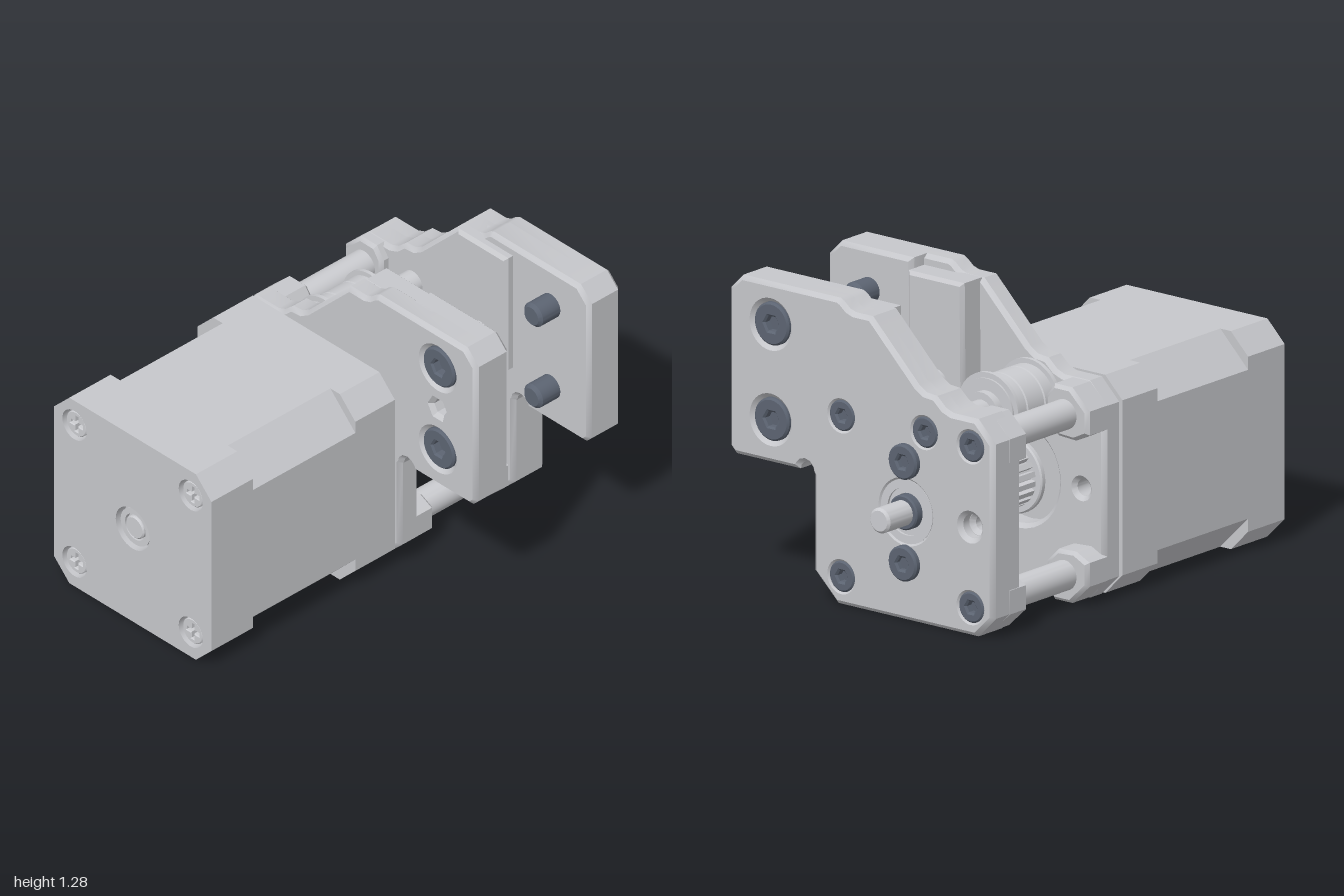
import * as THREE from 'three';
import { toCreasedNormals } from 'three/addons/utils/BufferGeometryUtils.js';

const paint = (name, color) => Object.assign(new THREE.MeshStandardMaterial({ color }), { name });

export function createModel() {
  const root = new THREE.Group();
  root.name = 'gearedMotorMount';
  const alloy = paint('alloy grey', 0xc6c7cb);
  const steel = paint('steel grey', 0xcbccd0);
  const dark = paint('dark screw steel', 0x5c6472);
  const CX = -0.235, CY = 0.46, P = 0.337; // motor axis and screw pitch
  const corners = [[-1, 1], [1, 1], [-1, -1], [1, -1]];

  const add = (name, geo, mat) => {
    const m = new THREE.Mesh(toCreasedNormals(geo, 0.6), mat);
    m.name = name;
    root.add(m);
    return m;
  };
  const ring = (x, y, r, n = 32) => Array.from({ length: n }, (_, i) => {
    const a = (i / n) * Math.PI * 2;
    return new THREE.Vector2(x + r * Math.cos(a), y + r * Math.sin(a));
  });
  const toV = (pts) => pts.map((p) => (p.isVector2 ? p : new THREE.Vector2(p[0], p[1])));
  // Flat plate between two z values, with holes and an edge chamfer
  const plate = (name, mat, pts, z0, z1, holes = [], b = 0) => {
    const s = new THREE.Shape(toV(pts));
    s.holes = holes.map((h) => new THREE.Path(toV(h)));
    const geo = new THREE.ExtrudeGeometry(s, {
      depth: z1 - z0 - 2 * b, bevelEnabled: b > 0, bevelSize: b,
      bevelThickness: b, bevelOffset: -b, bevelSegments: 1,
    });
    geo.translate(0, 0, z0 + b);
    return add(name, geo, mat);
  };
  // Turned part along z; profile is [radius, z] with z rising
  const turned = (name, mat, x, y, profile, n = 40) => {
    const geo = new THREE.LatheGeometry(toV(profile), n);
    geo.rotateX(Math.PI / 2);
    geo.translate(x, y, 0);
    return add(name, geo, mat);
  };
  const rod = (name, mat, x, y, r, z0, z1, c = 0.006) =>
    turned(name, mat, x, y, [[0, z0], [r - c, z0], [r, z0 + c], [r, z1 - c], [r - c, z1], [0, z1]]);
  // Round screw head with a hex socket; dir is the way it faces
  const socketHead = (name, x, y, z, r, depth, dir) => {
    const back = z - dir * depth;
    plate(name, dark, ring(x, y, r), Math.min(z, back), Math.max(z, back), [ring(x, y, r * 0.4, 6)], 0.008);
    rod(name + 'Socket', dark, x, y, r * 0.6, Math.min(back, back + dir * 0.015), Math.max(back, back + dir * 0.015), 0.001);
  };

  // Motor: chamfered square sections
  const octagon = (h, c) => [[-h + c, -h], [h - c, -h], [h, -h + c], [h, h - c], [h - c, h], [-h + c, h], [-h, h - c], [-h, -h + c]]
    .map(([x, y]) => [x + CX, y + CY]);
  const H = 0.457;
  plate('motorRearCap', alloy, octagon(H, 0.09), -0.02, 0.2);
  plate('motorStator', alloy, octagon(H, 0.145), 0.2, 0.77);
  plate('motorFrontCap', alloy, octagon(H, 0.09), 0.77, 0.95);
  const capHoles = corners.map(([a, b]) => ring(CX + a * P, CY + b * P, 0.07));
  plate('motorFrontFace', alloy, octagon(H, 0.09), 0.95, 1, [...capHoles, ring(CX, CY, 0.098)]);
  turned('motorFrontBearing', steel, CX, CY, [[0.085, 0.95], [0.085, 0.985], [0.06, 0.985], [0.06, 0.965], [0, 0.965]]);
  rod('motorShaftEnd', steel, CX, CY, 0.052, 0.95, 0.99);
  const t = 0.008, L = 0.036;
  const cross = [[t, t], [L, t], [L, -t], [t, -t], [t, -L], [-t, -L], [-t, -t], [-L, -t], [-L, t], [-t, t], [-t, L], [t, L]];
  for (const [a, b] of corners) {
    const x = CX + a * P, y = CY + b * P;
    plate('motorScrew', steel, ring(x, y, 0.058), 0.955, 0.99, [cross.map((p) => [p[0] + x, p[1] + y])], 0.004);
  }

  // Shared outline of both mounting plates
  const notch = [0, 1, 2, 3, 4, 5, 6].map((i) => {
    const a = Math.PI * (1 - i / 6);
    return [0.292 + 0.035 * Math.cos(a), 0.53 + 0.035 * Math.sin(a)];
  });
  const arm = [[0.66, 0.53], [0.69, 0.56], [0.69, 1.22], [0.625, 1.285]];
  const outline = [[-0.6, 0.004], [0.13, 0.004], [0.25, 0.12], [0.25, 0.52], ...notch, ...arm,
    [0.12, 1.285], [0.1, 1.275], [0.07, 1.25], [0.04, 1.24], [-0.05, 1.24], [-0.29, 1.0], [-0.33, 0.975],
    [-0.385, 0.97], [-0.43, 0.93], [-0.47, 0.915], [-0.6, 0.915], [-0.69, 0.825], [-0.69, 0.094]];
  const armBlock = [[0.25, 0.52], ...notch, ...arm, [0.25, 1.285]];
  const clampY = [1.11, 0.71], clampX = 0.47;
  const counterbores = clampY.map((y) => ring(clampX, y, 0.092));
  const sideHole = (r) => ring(-0.57, CY, r);
  const hexHole = ring(clampX, 0.91, 0.038, 6);

  // Front plate with thicker arm
  plate('frontPlate', alloy, outline, -0.13, -0.02, [ring(CX, CY, 0.21), sideHole(0.035), hexHole, ...counterbores], 0.018);
  plate('frontPlateArm', alloy, armBlock, -0.21, -0.085, [hexHole], 0.018);
  // Rear plate
  const smallScrews = [...corners.map(([a, b]) => [CX + a * P, CY + b * P]), [-0.33, 0.81]];
  plate('rearPlate', alloy, outline, -0.83, -0.73,
    [ring(CX, CY, 0.125), sideHole(0.05), ...counterbores, ...smallScrews.map(([x, y]) => ring(x, y, 0.055))], 0.018);
  plate('rearPlateInner', alloy, outline, -0.775, -0.65, [ring(CX, CY, 0.125), sideHole(0.03)], 0.018);

  // Raised pads on the facing sides of the plates
  const foot = [[-0.12, 0.03], [-0.03, 0.115], [0.06, 0.115], [0.1, 0.06], [0.1, -0.04], [0.04, -0.1], [-0.05, -0.105], [-0.12, -0.07]];
  const rib = [[-0.045, 0.74], [0.01, 0.69], [0.25, 0.69], [0.25, 1.24], [-0.04, 1.24]];
  for (const [z0, z1] of [[-0.24, -0.1], [-0.74, -0.61]]) {
    for (const [a, b] of corners) {
      const x = CX + a * P, y = CY + b * P;
      if (a > 0 && b > 0) plate('upperRib', alloy, rib, z0, z1, [], 0.015);
      else plate('cornerPad', alloy, foot.map((p) => [x - a * p[0], y + b * p[1]]), z0, z1, [], 0.015);
    }
  }
  // Standoffs
  for (const [a, b] of corners) rod('standoff', steel, CX + a * P, CY + b * P, 0.063, -0.62, -0.23);

  // Clamp screws in the arms, heads outward and tips inward
  for (const y of clampY) {
    socketHead('frontClampScrew', clampX, y, -0.022, 0.09, 0.055, 1);
    rod('frontClampTip', dark, clampX, y, 0.054, -0.315, -0.19, 0.014);
    socketHead('rearClampScrew', clampX, y, -0.828, 0.09, 0.05, -1);
    rod('rearClampTip', dark, clampX, y, 0.054, -0.67, -0.54, 0.014);
  }
  for (const [x, y] of smallScrews) socketHead('standoffScrew', x, y, -0.829, 0.066, 0.05, -1);
  for (const y of [CY + 0.213, CY - 0.213]) socketHead('bearingScrew', CX, y, -0.857, 0.074, 0.04, -1);

  // Rear bearing and drive shaft
  turned('rearBearing', steel, CX, CY, [[0.075, -0.815], [0.1, -0.815], [0.1, -0.825], [0.135, -0.825], [0.135, -0.81], [0.123, -0.81], [0.123, -0.66], [0, -0.66]]);
  rod('shaftCollar', dark, CX, CY, 0.073, -0.85, -0.7);
  rod('driveShaft', steel, CX, CY, 0.053, -1, -0.02, 0.01);

  // Drive pulley: toothed barrel, flange and hub with set screws
  const teeth = [];
  for (let i = 0; i < 20; i++) {
    [[0, 0.13], [0.55, 0.13], [0.66, 0.105], [0.89, 0.105]].forEach(([f, r]) => {
      const a = ((i + f) / 20) * Math.PI * 2;
      teeth.push([CX + r * Math.cos(a), CY + r * Math.sin(a)]);
    });
  }
  plate('drivePulleyTeeth', steel, teeth, -0.41, -0.16);
  rod('drivePulleyFlange', steel, CX, CY, 0.16, -0.17, -0.14);
  rod('drivePulleyHub', steel, CX, CY, 0.16, -0.56, -0.405, 0.01);
  for (const side of [true, false]) {
    const screw = new THREE.Group();
    screw.name = 'hubSetScrew';
    const rim = new THREE.Mesh(new THREE.TorusGeometry(0.04, 0.008, 8, 24), steel);
    const core = new THREE.Mesh(new THREE.CylinderGeometry(0.026, 0.026, 0.02, 6).rotateX(Math.PI / 2), dark);
    rim.name = 'setScrewRim';
    core.name = 'setScrewCore';
    screw.add(rim, core);
    screw.position.set(CX + (side ? 0.154 : 0), CY + (side ? 0 : 0.154), -0.485);
    if (side) screw.rotation.y = Math.PI / 2;
    else screw.rotation.x = -Math.PI / 2;
    root.add(screw);
  }

  // Idler pulley and its axle
  turned('idlerPulley', steel, -0.33, 0.81, [[0, -0.47], [0.085, -0.47], [0.085, -0.435], [0.135, -0.435], [0.135, -0.427],
    [0.158, -0.427], [0.158, -0.41], [0.138, -0.41], [0.138, -0.35], [0.13, -0.345], [0.138, -0.34], [0.138, -0.24], [0.13, -0.235],
    [0.138, -0.23], [0.138, -0.175], [0.158, -0.175], [0.158, -0.157], [0.135, -0.157], [0.135, -0.135], [0.08, -0.135], [0.08, -0.11], [0, -0.11]]);
  rod('idlerAxle', steel, -0.33, 0.81, 0.055, -0.66, -0.1);

  return root;
}
